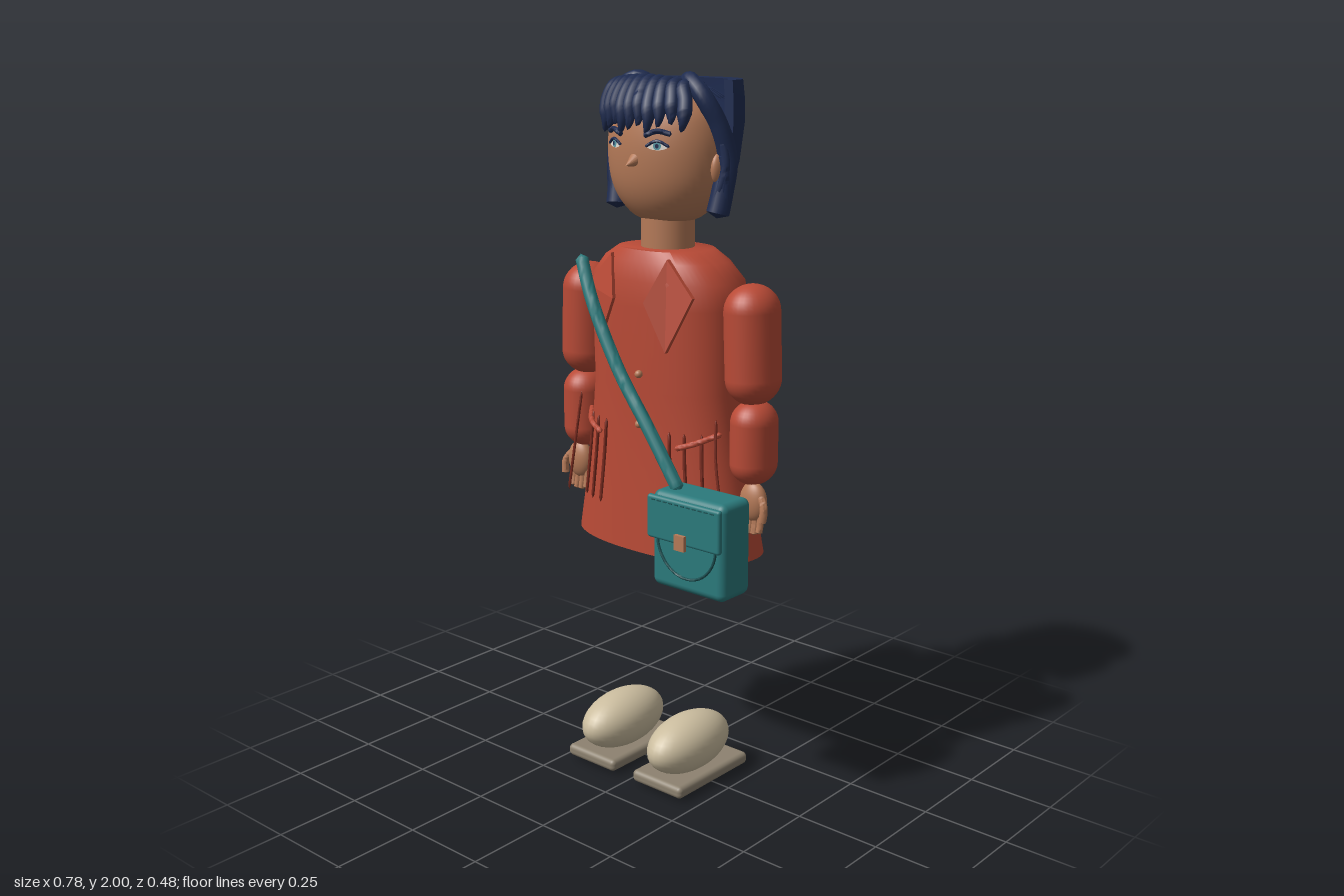
import * as THREE from 'three';
import { toCreasedNormals } from 'three/addons/utils/BufferGeometryUtils.js';
import { RoundedBoxGeometry } from 'three/addons/geometries/RoundedBoxGeometry.js';

const V = (x, y, z) => new THREE.Vector3(x, y, z);

// Closed solid through equal-length loops (counter-clockwise from above, bottom to top)
function loft(rings) {
  const n = rings[0].length, pos = [], idx = [];
  rings.forEach(r => r.forEach(p => pos.push(p.x, p.y, p.z)));
  for (let i = 0; i < rings.length - 1; i++) for (let j = 0; j < n; j++) {
    const a = i * n + j, b = i * n + (j + 1) % n;
    idx.push(a, b, a + n, b, b + n, a + n);
  }
  const top = (rings.length - 1) * n;
  for (let k = 0; k < n / 2 - 1; k++) {
    const [a, b, c, d] = [k, k + 1, n - 2 - k, n - 1 - k];
    idx.push(top + a, top + b, top + d, top + b, top + c, top + d);
    idx.push(a, d, b, b, d, c);
  }
  const g = new THREE.BufferGeometry();
  g.setAttribute('position', new THREE.Float32BufferAttribute(pos, 3));
  g.setIndex(idx);
  return toCreasedNormals(g, 0.9);
}

// Tube along points, radius varied by a rule, closed at both ends
function tubeGeo(points, r, rule = () => 1, segs = 20, sides = 8) {
  const curve = new THREE.CatmullRomCurve3(points);
  const g = new THREE.TubeGeometry(curve, segs, r, sides);
  const p = g.attributes.position, v = V(0, 0, 0);
  for (let i = 0; i < p.count; i++) {
    const row = Math.floor(i / (sides + 1)), c = curve.getPointAt(row / segs);
    const s = row === 0 || row === segs ? 0 : rule(row / segs);
    v.fromBufferAttribute(p, i).sub(c).multiplyScalar(s).add(c);
    p.setXYZ(i, v.x, v.y, v.z);
  }
  return toCreasedNormals(g, 0.9);
}

// Coat sections: height, half width, front z, back z
const COAT = [
  [0.69, 0.305, 0.115, -0.205], [0.85, 0.275, 0.108, -0.19], [1.0, 0.25, 0.103, -0.177],
  [1.15, 0.235, 0.102, -0.178], [1.38, 0.24, 0.108, -0.188], [1.45, 0.236, 0.105, -0.178],
  [1.5, 0.19, 0.092, -0.155], [1.53, 0.14, 0.078, -0.135]];
const POW = 2.3;
function coatZ(x, y) {
  let i = 0;
  while (i < COAT.length - 2 && COAT[i + 1][0] < y) i++;
  const t = (y - COAT[i][0]) / (COAT[i + 1][0] - COAT[i][0]);
  const [rx, f, b] = [1, 2, 3].map(k => THREE.MathUtils.lerp(COAT[i][k], COAT[i + 1][k], t));
  const q = Math.max(0, 1 - Math.abs(x / rx) ** POW) ** (1 / POW);
  return (f + b) / 2 + (f - b) / 2 * q;
}

export function createModel() {
  const M = {};
  const colours = {
    coat: 0xb84a36, coatSeam: 0x7c2c20, skin: 0xb57a58, hair: 0x1f2c50, bag: 0x2b7a7c,
    bagSeam: 0x1c5052, shoe: 0xcbbd9f, sole: 0x8d8270, eyeWhite: 0xe9e2d8, iris: 0x5a9aa5 };
  for (const [name, color] of Object.entries(colours)) {
    M[name] = new THREE.MeshStandardMaterial({ color });
    M[name].name = name;
  }
  const model = new THREE.Group(), body = new THREE.Group();
  body.name = 'figure';
  body.position.x = -0.012;
  model.add(body);
  const add = (name, geo, mat, x = 0, y = 0, z = 0, parent = body) => {
    const m = new THREE.Mesh(geo, mat);
    m.name = name;
    m.position.set(x, y, z);
    parent.add(m);
    return m;
  };
  const sphere = new THREE.SphereGeometry(1, 32, 20);
  const ball = (name, mat, c, s) => { const m = add(name, sphere, mat, ...c); m.scale.set(...s); return m; };

  // Coat body
  const rounded = (c, e) => Math.sign(c) * Math.abs(c) ** e;
  add('coat', loft(COAT.map(([y, rx, f, b]) => Array.from({ length: 64 }, (_, k) => {
    const a = (k + 0.5) / 64 * Math.PI * 2;
    return V(rx * rounded(Math.sin(a), 2 / POW), y, (f + b) / 2 + (f - b) / 2 * rounded(Math.cos(a), 2 / POW));
  }))), M.coat);
  for (const y of [1.2, 1.06]) ball('button', M.skin, [0.025, y, coatZ(0, y) + 0.012], [0.011, 0.011, 0.011]);

  // Neck and head
  add('neck', new THREE.CylinderGeometry(0.075, 0.075, 0.16, 32), M.skin, 0, 1.57, -0.035).scale.z = 0.95;
  const profile = [[0, 1.6], [0.085, 1.607], [0.135, 1.645], [0.166, 1.7], [0.178, 1.77], [0.175, 1.84],
    [0.155, 1.9], [0.105, 1.945], [0, 1.965]].map(p => new THREE.Vector2(...p));
  const headCurve = new THREE.SplineCurve(profile).getPoints(32);
  headCurve[0].x = headCurve[32].x = 0;
  add('head', new THREE.LatheGeometry(headCurve, 48), M.skin, 0, 0, -0.035).scale.z = 0.78;
  const nose = add('nose', new THREE.ConeGeometry(0.022, 0.05, 16), M.skin, 0, 1.765, 0.113);
  nose.rotation.x = 1.9;

  // Back hair: crescent shell, open at the crown
  const hairLevels = [[1.62, 0.135, 0.075], [1.68, 0.16, 0.11], [1.76, 0.178, 0.14], [1.86, 0.187, 0.16],
    [1.92, 0.187, 0.161], [1.975, 0.183, 0.15]];
  add('backHair', loft(hairLevels.map(([y, rx, rz]) => {
    const ring = [], n = 28;
    for (let k = 0; k <= n; k++) ring.push(V(rx * Math.cos(k / n * Math.PI), y, -0.08 - rz * Math.sin(k / n * Math.PI)));
    for (let k = n; k >= 0; k--) ring.push(V(rx * 0.84 * Math.cos(k / n * Math.PI), y, -0.08 - rz * 0.58 * Math.sin(k / n * Math.PI)));
    return ring;
  })), M.hair);

  // Fringe of overlapping strands
  for (let i = 0; i < 10; i++) {
    const x = -0.135 + i * 0.026, e = x * 1.12 + 0.025, side = e * e * 2.4;
    const tip = 1.835 + (i % 3) * 0.012 + (i > 6 ? 0.01 : 0);
    add('fringeStrand', tubeGeo([V(x, 1.96, -0.01), V(x + 0.005, 1.968 - side * 0.3, 0.045 - side * 0.4),
      V(e - 0.01, 1.92, 0.09 - side), V(e, 1.87, 0.108 - side), V(e - 0.008, tip, 0.108 - side)], 0.021,
    t => Math.min(1, 2.6 * (1.08 - t))), M.hair);
  }

  for (const s of [-1, 1]) {
    const P = (x, y, z) => V(s * x, y, z);
    // Side locks and crown strands
    add('sideLock', tubeGeo([P(0.06, 1.95, -0.06), P(0.09, 1.975, -0.015), P(0.145, 1.94, 0.0), P(0.178, 1.86, -0.03),
      P(0.19, 1.77, -0.052), P(0.185, 1.69, -0.04), P(0.178, 1.62, -0.025)], 0.029, t => 0.75 + 0.35 * t, 36, 14), M.hair);
    for (let k = 0; k < 3; k++) {
      add('sideLockStrand', tubeGeo([P(0.19 + k * 0.004, 1.83 - k * 0.04, -0.03), P(0.202, 1.75 - k * 0.02, -0.03),
        P(0.168 + k * 0.015, 1.63, -0.012 - k * 0.01)], 0.013), M.hair);
      add('crownStrand', tubeGeo([P(0.065, 1.957, -0.055), P(0.095, 1.953, -0.09 + k * 0.008),
        P(0.14, 1.925, -0.115 + k * 0.013)], 0.003, () => 1, 10, 5), M.hair);
    }
    ball('ear', M.skin, [s * 0.178, 1.75, -0.03], [0.016, 0.04, 0.026]);

    // Eyes and brows
    const eye = new THREE.Group();
    eye.name = 'eye';
    eye.position.set(s * 0.074, 1.81, 0.094);
    eye.rotation.y = s * 0.38;
    body.add(eye);
    const disc = new THREE.CircleGeometry(1, 24);
    add('eyeWhite', disc, M.eyeWhite, 0, 0, 0, eye).scale.set(0.03, 0.011, 1);
    add('iris', disc, M.iris, 0, 0, 0.002, eye).scale.set(0.011, 0.0105, 1);
    add('pupil', disc, M.hair, 0, 0, 0.004, eye).scale.set(0.005, 0.006, 1);
    add('lash', tubeGeo([V(-0.034, -0.002, 0), V(0, 0.013, 0.003), V(0.034, -0.002, 0)], 0.004), M.hair, 0, 0, 0, eye);
    add('brow', tubeGeo([V(-s * 0.038, 0.025, 0), V(0, 0.038, 0.002), V(s * 0.038, 0.03, -0.004)], 0.007), M.hair, 0, 0, 0, eye);

    // Sleeves
    const upper = add('upperSleeve', new THREE.CapsuleGeometry(0.073, 0.18, 10, 32), M.coat, s * 0.298, 1.295, -0.034);
    upper.scale.z = 1.13;
    upper.rotation.z = s * 0.04;
    add('lowerSleeve', new THREE.CapsuleGeometry(0.062, 0.11, 10, 32), M.coat, s * 0.31, 1.03, -0.03).scale.z = 1.14;

    // Hands
    ball('palm', M.skin, [s * 0.323, 0.87, -0.015], [0.042, 0.056, 0.027]);
    for (let k = 0; k < 4; k++) {
      const x = 0.293 + k * 0.018;
      add('finger', tubeGeo([P(x, 0.86, -0.015), P(x + 0.002, 0.81, -0.012),
        P(x + 0.002, 0.775 + Math.abs(k - 1.5) * 0.006, -0.006)], 0.0095), M.skin);
    }
    add('thumb', tubeGeo([P(0.35, 0.89, -0.01), P(0.369, 0.86, 0), P(0.367, 0.82, 0.004)], 0.011), M.skin);

    // Lapels, laid over the chest
    const shape = new THREE.Shape([[0.1, 1.515], [0.055, 1.4], [0.12, 1.27], [0.188, 1.42]]
      .map(([x, y]) => new THREE.Vector2(s * x, y)));
    const lapel = new THREE.ExtrudeGeometry(shape, { depth: 0.012, bevelEnabled: false });
    const lp = lapel.attributes.position;
    for (let i = 0; i < lp.count; i++) lp.setZ(i, lp.getZ(i) + coatZ(lp.getX(i), lp.getY(i)) + (lp.getY(i) < 1.45 ? 0.014 : 0.006));
    lapel.computeVertexNormals();
    add('lapel', lapel, M.coat);

    // Pocket welt, pleats and loose side seam
    const onCoat = (x, y, d) => P(x, y, coatZ(x, y) + d);
    add('pocketWelt', tubeGeo([onCoat(0.135, 1.005, 0.008), onCoat(0.19, 1.025, 0.012), onCoat(0.24, 1.05, 0.02)], 0.008), M.coat);
    for (let k = 0; k < 3; k++) {
      const x = 0.115 + k * 0.042;
      add('pleat', tubeGeo([onCoat(x, 1.05, 0.002), onCoat(x + 0.006, 0.95, 0.004), onCoat(x + 0.022, 0.8, 0.002)], 0.005), M.coatSeam);
    }
    add('sideSeam', tubeGeo([P(0.247, 1.1, 0.055), P(0.258, 0.98, 0.068), P(0.29, 0.8, 0.07)], 0.004), M.coatSeam);

    // Shoes
    ball('shoe', M.shoe, [s * 0.127, 0.112, 0.02], [0.084, 0.083, 0.155]);
    add('sole', new RoundedBoxGeometry(0.183, 0.036, 0.31, 3, 0.014), M.sole, s * 0.127, 0.027, 0.01);
    add('soleStud', new THREE.BoxGeometry(0.02, 0.012, 0.03), M.sole, s * 0.127, 0.006, 0.01);
  }

  // Shoulder bag and strap
  const bag = new THREE.Group();
  bag.name = 'shoulderBag';
  bag.position.set(0.261, 0.787, 0);
  model.add(bag);
  add('bagBody', new RoundedBoxGeometry(0.248, 0.268, 0.12, 4, 0.022), M.bag, 0, 0, 0.146, bag);
  add('bagFlap', new RoundedBoxGeometry(0.248, 0.12, 0.018, 3, 0.008), M.bag, 0, 0.066, 0.216, bag);
  const arc = Array.from({ length: 13 }, (_, k) => V(-0.1 * Math.cos(k / 12 * Math.PI), 0.015 - 0.105 * Math.sin(k / 12 * Math.PI), 0));
  add('flapEdge', tubeGeo(arc, 0.004, () => 1, 32), M.bagSeam, 0, 0, 0.208, bag);
  for (let k = -5; k <= 5; k++)
    add('stitch', new THREE.BoxGeometry(0.012, 0.003, 0.003), M.bagSeam, k * 0.02, 0.115, 0.2255, bag);
  add('clasp', new THREE.BoxGeometry(0.034, 0.042, 0.011), M.skin, 0, 0.017, 0.234, bag);
  add('strap', tubeGeo([V(-0.205, 1.505, 0.108), V(-0.14, 1.385, 0.133), V(-0.03, 1.21, 0.148), V(0.08, 1.07, 0.154),
    V(0.195, 0.91, 0.156)], 0.018, () => 1, 48, 14), M.bag, 0, 0, 0, model);

  return model;
}
